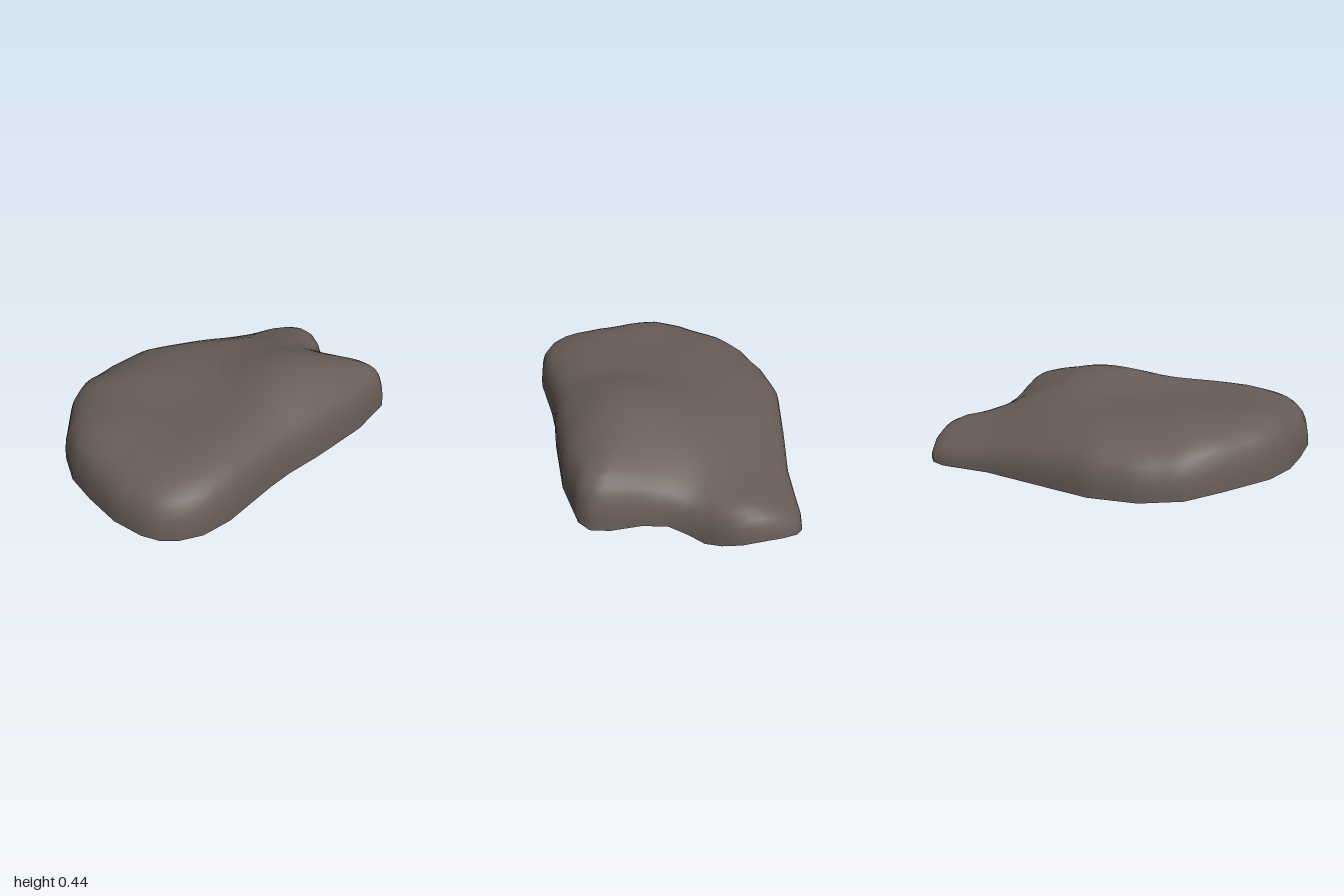
import * as THREE from 'three';

// Lower rim of the shell: x, z, y
const RIM = [
  [-1, .2, .11], [-.99, .36, .11], [-.96, .45, .11], [-.91, .51, .11], [-.81, .57, .107], [-.66, .6, .105],
  [-.34, .6, .1], [-.2, .608, .097], [0, .637, .093], [.36, .67, .086], [.64, .65, .08], [.7, .61, .072],
  [.725, .52, .065], [.735, .37, .065], [.76, .25, .05], [.81, .17, .02], [.87, .11, .001], [.93, .05, .02],
  [.98, -.03, .045], [1, -.12, .06], [1, -.22, .055], [.98, -.3, .04], [.95, -.34, .033], [.88, -.37, .03],
  [.6, -.435, .045], [.3, -.545, .055], [0, -.65, .063], [-.25, -.67, .07], [-.46, -.63, .085],
  [-.62, -.52, .1], [-.83, -.32, .105], [-.92, -.17, .11], [-.965, 0, .11],
];

// Heights of the upper surface: x, z, y
const TOPS = [
  [.07, .34, .44], [.26, .33, .44], [.16, .2, .437], [.1, .02, .385], [.45, .3, .385], [.45, .08, .355],
  [.63, .52, .4], [.63, .22, .325], [.35, .57, .41], [.05, .55, .41], [-.25, .5, .4], [-.2, .2, .38],
  [-.6, .5, .39], [-.85, .4, .39], [-.87, .15, .4], [-.5, .15, .375], [-.8, -.13, .44], [-.55, -.15, .388],
  [-.62, -.38, .41], [-.35, -.32, .39], [-.15, -.12, .378], [-.05, -.4, .355], [-.25, -.58, .335], [.12, -.2, .365],
  [.25, -.42, .31], [.35, -.15, .345], [.5, -.32, .26], [.63, -.03, .285], [.72, -.22, .23], [.93, -.12, .28],
  [.82, .02, .25], [.9, -.29, .18],
];

// Inset of each ring and how far it has climbed from rim to top
const RINGS = [
  [1, 0], [.998, .16], [.988, .35], [.968, .51], [.94, .63], [.9, .73], [.85, .8], [.79, .87],
  [.7, .94], [.6, .98], [.5, 1], [.4, 1], [.3, 1], [.2, 1], [.1, 1], [.001, 1],
];

// Smooth blend of the given values over the top points
function blend(values, x, z) {
  let sum = 0, total = 0;
  TOPS.forEach(([px, pz], i) => {
    const w = Math.exp(-((x - px) ** 2 + (z - pz) ** 2) / .045);
    sum += w * values[i];
    total += w;
  });
  return sum / total;
}

// Sharpen the blend until it runs close to the top points
function fitTops() {
  let values = TOPS.map((t) => t[2]);
  for (let pass = 0; pass < 4; pass++) {
    values = values.map((v, i) => v + TOPS[i][2] - blend(values, TOPS[i][0], TOPS[i][1]));
  }
  return values;
}

// Rim corners joined by straight, evenly divided runs
function rimPoints() {
  const corners = RIM.map(([x, z, y]) => new THREE.Vector3(x, y, z));
  return corners.flatMap((a, i) => {
    const b = corners[(i + 1) % corners.length];
    const n = Math.ceil(a.distanceTo(b) / .08);
    return Array.from({ length: n }, (_, k) => a.clone().lerp(b, k / n));
  });
}

export function createModel() {
  const group = new THREE.Group();
  group.name = 'rock';
  const stone = new THREE.MeshStandardMaterial({ color: 0x685c57, side: THREE.DoubleSide });
  stone.name = 'brown grey stone';

  const rim = rimPoints(), N = rim.length;
  const tops = fitTops();

  // Rings shrink from the rim to the middle while rising to the top surface
  const positions = [], index = [];
  for (const [s, f] of RINGS) {
    for (const p of rim) {
      const x = p.x * s, z = p.z * s;
      positions.push(x, p.y + (blend(tops, x, z) - p.y) * f, z);
    }
  }
  for (let k = 0; k < RINGS.length - 1; k++) {
    for (let j = 0; j < N; j++) {
      const a = k * N + j, b = k * N + (j + 1) % N;
      index.push(a, b, b + N, a, b + N, a + N);
    }
  }
  const geometry = new THREE.BufferGeometry();
  geometry.setAttribute('position', new THREE.Float32BufferAttribute(positions, 3));
  geometry.setIndex(index);
  geometry.computeVertexNormals();

  const shell = new THREE.Mesh(geometry, stone);
  shell.name = 'rockShell';
  group.add(shell);
  return group;
}
